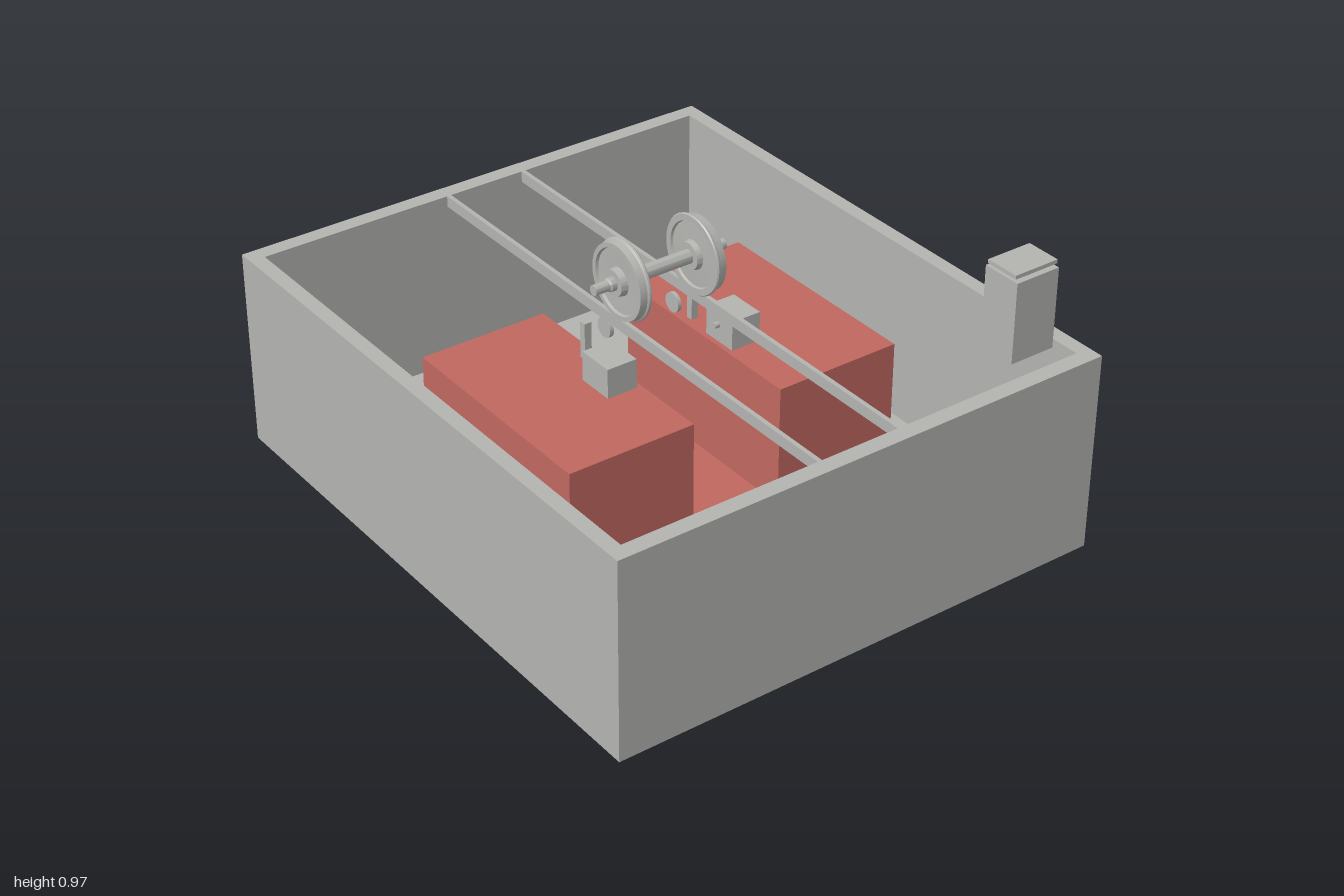
import * as THREE from 'three';
import { toCreasedNormals } from 'three/addons/utils/BufferGeometryUtils.js';

const gray = new THREE.MeshStandardMaterial({ color: 0xb3b3b0 });
gray.name = 'concrete and steel gray';
const red = new THREE.MeshStandardMaterial({ color: 0xc0675f });
red.name = 'foundation red';

function add(parent, name, geometry, material, x = 0, y = 0, z = 0) {
  const mesh = new THREE.Mesh(geometry, material);
  mesh.name = name;
  mesh.position.set(x, y, z);
  parent.add(mesh);
  return mesh;
}

// box given by its lower and upper corners
function block(parent, name, material, a, b) {
  const size = a.map((v, i) => b[i] - v);
  const mid = a.map((v, i) => (b[i] + v) / 2);
  return add(parent, name, new THREE.BoxGeometry(...size), material, ...mid);
}

// lathe around the x axis from [x, radius] points, running in +x
function turned(points) {
  const profile = points.map(([x, r]) => new THREE.Vector2(r, x));
  const geometry = new THREE.LatheGeometry(profile, 48);
  geometry.rotateZ(-Math.PI / 2);
  return toCreasedNormals(geometry, 0.5);
}

function rectangle(ShapeClass, w, d) {
  return new ShapeClass([[-w, -d], [w, -d], [w, d], [-w, d]].map(p => new THREE.Vector2(...p)));
}

export function createModel() {
  const model = new THREE.Group();
  model.name = 'wheelsetPit';

  // open pit with four walls and a floor
  const pit = new THREE.Group();
  pit.name = 'pit';
  model.add(pit);
  const frame = rectangle(THREE.Shape, 0.865, 1);
  frame.holes.push(rectangle(THREE.Path, 0.815, 0.945));
  const walls = new THREE.ExtrudeGeometry(frame, { depth: 0.675, bevelEnabled: false });
  walls.rotateX(-Math.PI / 2);
  add(pit, 'pitWalls', walls, gray);
  block(pit, 'pitFloor', gray, [-0.815, 0, -0.945], [0.815, 0.055, 0.945]);

  // red foundation with a channel along the middle
  const section = new THREE.Shape([
    [-0.6, 0.055], [0.6, 0.055], [0.6, 0.51], [0.16, 0.51],
    [0.16, 0.1], [-0.16, 0.1], [-0.16, 0.51], [-0.6, 0.51],
  ].map(p => new THREE.Vector2(...p)));
  const foundation = new THREE.ExtrudeGeometry(section, { depth: 0.78, bevelEnabled: false });
  add(model, 'foundation', foundation, red, 0, 0, -0.39);

  // wheelset: axle with journals and two flanged wheels
  const wheelset = new THREE.Group();
  wheelset.name = 'wheelset';
  wheelset.position.y = 0.803;
  model.add(wheelset);
  add(wheelset, 'axle', turned([
    [-0.24, 0], [-0.24, 0.017], [-0.19, 0.017], [-0.185, 0.022], [-0.12, 0.023],
    [0.12, 0.023], [0.185, 0.022], [0.19, 0.017], [0.24, 0.017], [0.24, 0],
  ]), gray);
  const wheelProfile = [
    [0.108, 0.022], [0.108, 0.044], [0.126, 0.048], [0.128, 0.105], [0.12, 0.108],
    [0.12, 0.129], [0.124, 0.132], [0.13, 0.131], [0.134, 0.126], [0.157, 0.123],
    [0.157, 0.108], [0.148, 0.105], [0.146, 0.046], [0.168, 0.042], [0.168, 0.022],
  ];
  for (const side of [1, -1]) {
    const wheel = add(wheelset, side > 0 ? 'leftWheel' : 'rightWheel', turned(wheelProfile), gray);
    if (side < 0) wheel.rotation.y = Math.PI;
  }

  // mirrored rails and measuring equipment
  for (const side of [1, -1]) {
    const label = side > 0 ? 'left' : 'right';
    const half = new THREE.Group();
    half.name = label + 'Equipment';
    model.add(half);
    const cuboid = (name, x, w, y0, y1, z0, z1) =>
      block(half, label + name, gray, [side * x - w / 2, y0, z0], [side * x + w / 2, y1, z1]);

    cuboid('Rail', 0.143, 0.015, 0.637, 0.675, -0.945, 0.945);
    cuboid('InstrumentBox', 0.23, 0.105, 0.51, 0.61, 0, 0.13);
    cuboid('Post', 0.2, 0.025, 0.51, 0.635, -0.112, -0.088);

    const lens = new THREE.CylinderGeometry(0.01, 0.01, 0.02, 16);
    lens.rotateZ(Math.PI / 2);
    add(half, label + 'Lens', lens, gray, side * 0.17, 0.57, 0.06);

    const roller = new THREE.CylinderGeometry(0.033, 0.033, 0.014, 24);
    roller.rotateZ(Math.PI / 2);
    add(half, label + 'Roller', roller, gray, side * 0.127, 0.59, -0.1);
  }

  // control cabinet with a raised lid
  const cabinet = new THREE.Group();
  cabinet.name = 'controlCabinet';
  model.add(cabinet);
  block(cabinet, 'cabinetBody', gray, [0.62, 0.675, 0.745], [0.78, 0.945, 0.88]);
  block(cabinet, 'cabinetNeck', gray, [0.69, 0.945, 0.8], [0.71, 0.955, 0.82]);
  block(cabinet, 'cabinetLid', gray, [0.62, 0.955, 0.753], [0.78, 0.968, 0.872]);

  return model;
}
